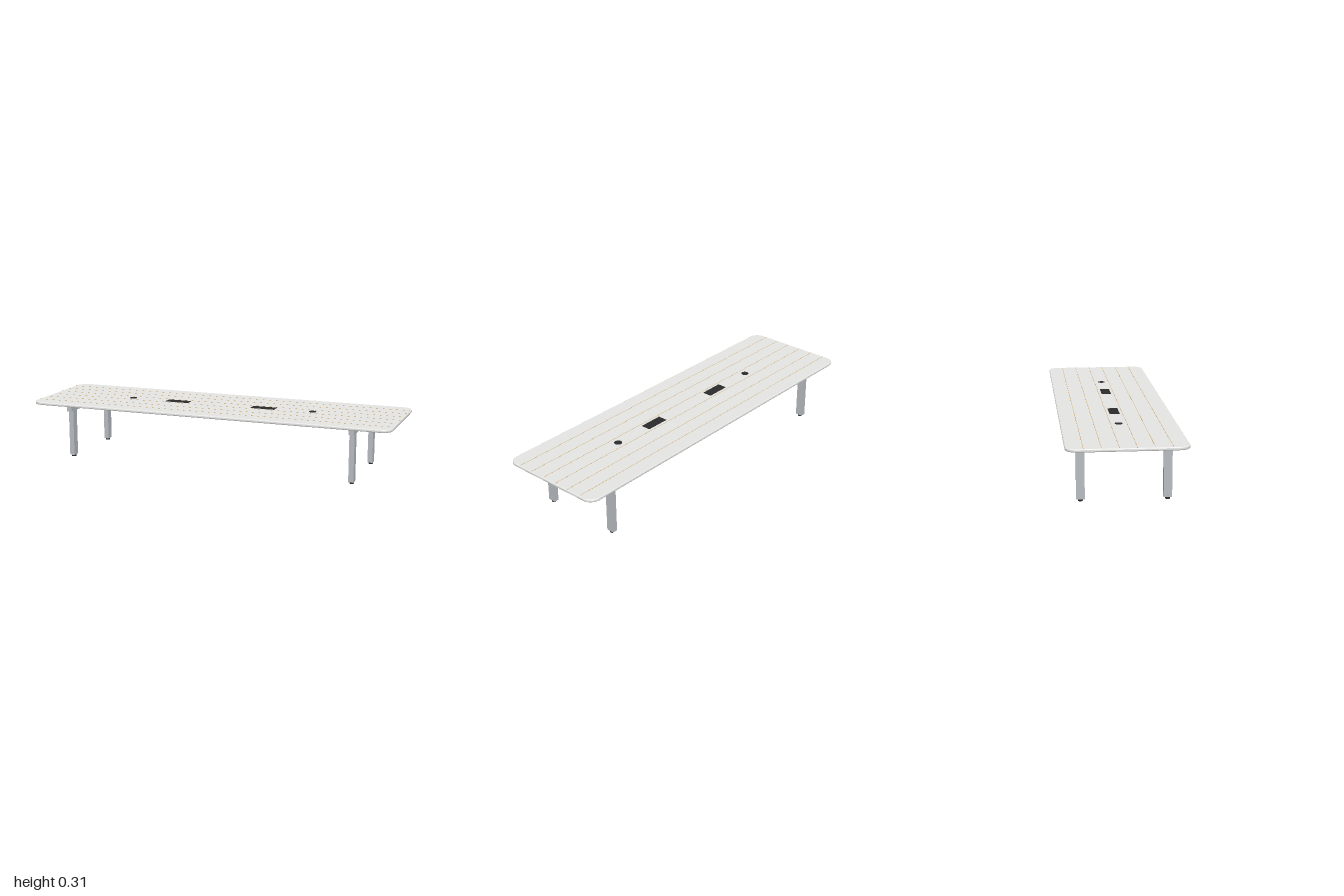
import * as THREE from 'three';

const mat = (name, color) => {
  const m = new THREE.MeshStandardMaterial({ color });
  m.name = name;
  return m;
};

export function createModel() {
  const top = mat('table top pale grey', 0xe5e5e4);
  const metal = mat('frame metal', 0xb8bdc2);
  const beamMat = mat('beam grey', 0x868b90);
  const black = mat('black plastic', 0x2a2a2a);
  const amber = mat('amber line', 0xc8913c);

  const model = new THREE.Group();
  model.name = 'conferenceTable';

  const add = (name, geometry, material, x, y, z) => {
    const mesh = new THREE.Mesh(geometry, material);
    mesh.name = name;
    mesh.position.set(x, y, z);
    model.add(mesh);
    return mesh;
  };
  const box = (name, material, w, h, d, x, y, z) =>
    add(name, new THREE.BoxGeometry(w, h, d), material, x, y, z);

  // Rounded slab with a softened edge
  const bevel = 0.006, hx = 1 - bevel, hz = 0.291 - bevel, r = 0.05;
  const outline = new THREE.Shape();
  outline.absarc(hx - r, hz - r, r, 0, Math.PI / 2);
  outline.absarc(-hx + r, hz - r, r, Math.PI / 2, Math.PI);
  outline.absarc(-hx + r, -hz + r, r, Math.PI, Math.PI * 1.5);
  outline.absarc(hx - r, -hz + r, r, Math.PI * 1.5, Math.PI * 2);
  outline.closePath();
  const slab = new THREE.ExtrudeGeometry(outline, {
    depth: 0.004, bevelEnabled: true, bevelThickness: 0.006,
    bevelSize: bevel, bevelSegments: 4, curveSegments: 10,
  });
  slab.rotateX(-Math.PI / 2);
  add('tableTop', slab, top, 0, 0.2988, 0);

  // Hairline inlays dividing the top into seven planks
  for (let i = 0; i < 6; i++) {
    box('inlayLine', amber, 1.988, 0.0006, 0.0015, 0, 0.3089, (i - 2.5) * 0.083);
  }

  for (const sx of [-1, 1]) {
    // Power boxes and cable grommets set in the top
    box('powerBox', black, 0.132, 0.005, 0.052, sx * 0.248, 0.3078, 0);
    add('cableGrommet', new THREE.CylinderGeometry(0.02, 0.02, 0.005, 24), black, sx * 0.52, 0.3078, 0);

    // End frame: crossbar, two legs, feet and mounting plates
    const x = sx * 0.792;
    box('crossbar', metal, 0.027, 0.03, 0.5, x, 0.275, 0);
    for (const sz of [-1, 1]) {
      box('leg', metal, 0.027, 0.25, 0.041, x, 0.135, sz * 0.21);
      add('foot', new THREE.CylinderGeometry(0.0115, 0.0115, 0.01, 20), black, x, 0.005, sz * 0.21);
      box('mountingPlate', metal, 0.08, 0.004, 0.083, x, 0.291, sz * 0.189);
    }
  }

  // Long beam joining the end frames
  box('beam', beamMat, 1.557, 0.018, 0.04, 0, 0.281, 0);
  box('centrePlate', metal, 0.12, 0.004, 0.083, 0, 0.291, 0);

  return model;
}
